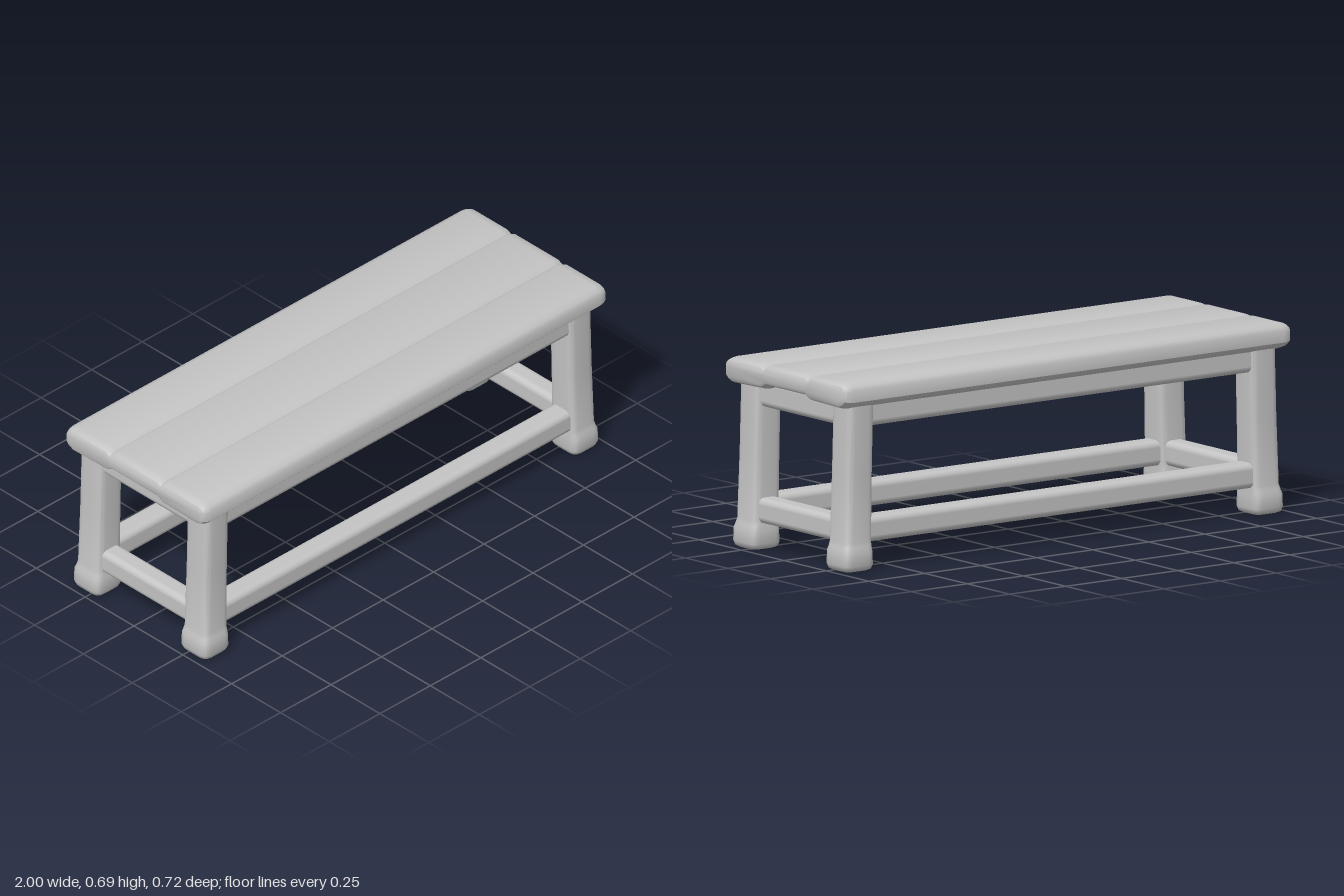
import * as THREE from 'three';
import { toCreasedNormals } from 'three/addons/utils/BufferGeometryUtils.js';
import { RoundedBoxGeometry } from 'three/addons/geometries/RoundedBoxGeometry.js';

// Loft of rounded-square rings, each [y, centreX, centreZ, halfX, halfZ]
function loft(rings, n = 32, power = 0.4) {
  const pos = [], idx = [];
  for (const [y, cx, cz, hx, hz] of rings) {
    for (let i = 0; i < n; i++) {
      const a = (i / n) * Math.PI * 2, c = Math.cos(a), s = Math.sin(a);
      pos.push(cx + hx * Math.sign(c) * Math.abs(c) ** power, y, cz + hz * Math.sign(s) * Math.abs(s) ** power);
    }
  }
  for (let r = 0; r < rings.length - 1; r++) {
    for (let i = 0; i < n; i++) {
      const a = r * n + i, b = r * n + (i + 1) % n;
      idx.push(a, a + n, b, b, a + n, b + n);
    }
  }
  // end caps
  const top = (rings.length - 1) * n;
  for (let i = 1; i < n - 1; i++) {
    idx.push(0, i, i + 1, top, top + i + 1, top + i);
  }
  const g = new THREE.BufferGeometry();
  g.setAttribute('position', new THREE.Float32BufferAttribute(pos, 3));
  g.setIndex(idx);
  return toCreasedNormals(g, 0.9);
}

export function createModel() {
  const model = new THREE.Group();
  model.name = 'bench';
  const grey = new THREE.MeshStandardMaterial({ color: 0xc4c4c4 });
  grey.name = 'plain grey';

  const add = (name, geometry, x = 0, y = 0, z = 0) => {
    const mesh = new THREE.Mesh(geometry, grey);
    mesh.name = name;
    mesh.position.set(x, y, z);
    model.add(mesh);
    return mesh;
  };

  // Seat: half profile [z, y] of three planks with shallow grooves, mirrored across z
  const half = [
    [0.113, 0.611], [0.14, 0.597], [0.318, 0.593], [0.342, 0.602], [0.36, 0.62],
    [0.36, 0.661], [0.35, 0.677], [0.328, 0.687], [0.15, 0.687], [0.13, 0.678], [0.113, 0.687],
  ];
  const outline = [...half, ...half.map(([z, y]) => [-z, y]).reverse()];
  const bevel = 0.04, inset = 0.02;
  const seat = new THREE.ExtrudeGeometry(
    new THREE.Shape(outline.map(([z, y]) => new THREE.Vector2(z, y))),
    { depth: 2 - 2 * bevel, bevelThickness: bevel, bevelSize: inset, bevelOffset: -inset, bevelSegments: 3, steps: 1 });
  seat.translate(0, 0, bevel - 1);
  seat.rotateY(Math.PI / 2);
  add('seat', toCreasedNormals(seat, 0.6));

  // Tapered legs with swollen feet
  for (const sx of [1, -1]) {
    for (const sz of [1, -1]) {
      const rings = [
        [0, 0.915, 0.275, 0.05, 0.052],
        [0.006, 0.915, 0.275, 0.06, 0.064],
        [0.022, 0.915, 0.275, 0.066, 0.07],
        [0.07, 0.915, 0.275, 0.064, 0.069],
        [0.088, 0.912, 0.274, 0.061, 0.064],
        [0.105, 0.91, 0.273, 0.059, 0.061],
        [0.35, 0.903, 0.272, 0.058, 0.058],
        [0.62, 0.896, 0.272, 0.058, 0.057],
      ].map(([y, x, z, hx, hz]) => [y, x * sx, z * sz, hx, hz]);
      add((sz > 0 ? 'front' : 'back') + (sx > 0 ? 'Left' : 'Right') + 'Leg', loft(rings));
    }
  }

  // Long and short rails, low between the feet and high under the seat
  const longRail = (h) => new RoundedBoxGeometry(1.8, h, 0.09, 3, 0.024);
  const shortRail = (h) => new RoundedBoxGeometry(0.085, h, 0.54, 3, 0.024);
  for (const s of [1, -1]) {
    const face = s > 0 ? 'front' : 'back', side = s > 0 ? 'left' : 'right';
    add(face + 'Stretcher', longRail(0.092), 0, 0.142, 0.273 * s);
    add(face + 'Apron', longRail(0.105), 0, 0.568, 0.273 * s);
    add(side + 'Stretcher', shortRail(0.092), 0.908 * s, 0.142, 0);
    add(side + 'Apron', shortRail(0.105), 0.897 * s, 0.568, 0);
  }
  return model;
}
